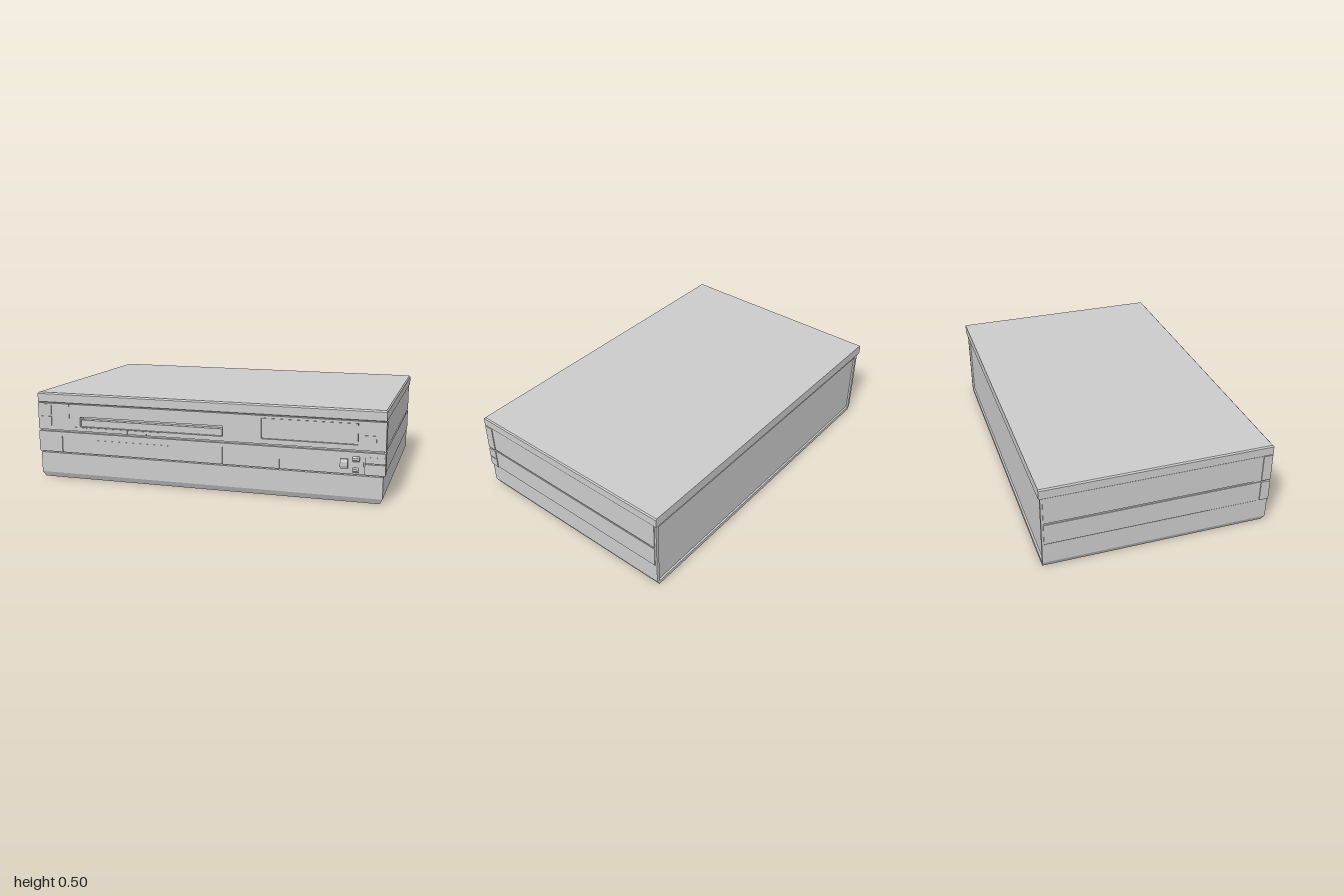
import * as THREE from 'three';

const material = new THREE.MeshStandardMaterial({ color: 0xcccccc, flatShading: true });

// Solid lofted through rectangles [halfWidth, y, back, front], bottom to top
function loft(rings) {
  const pos = [], index = [];
  for (const [x, y, b, f] of rings) pos.push(-x, y, f, x, y, f, x, y, b, -x, y, b);
  for (let r = 0; r < rings.length - 1; r++) {
    for (let i = 0; i < 4; i++) {
      const a = r * 4 + i, c = r * 4 + (i + 1) % 4;
      index.push(a, c, c + 4, a, c + 4, a + 4);
    }
  }
  const t = (rings.length - 1) * 4;
  index.push(0, 2, 1, 0, 3, 2, t, t + 1, t + 2, t, t + 2, t + 3);
  const g = new THREE.BufferGeometry();
  g.setAttribute('position', new THREE.Float32BufferAttribute(pos, 3));
  g.setIndex(index);
  const flat = g.toNonIndexed();
  flat.computeVertexNormals();
  return flat;
}

function rect(x0, x1, y0, y1, Type = THREE.Shape) {
  return new Type([[x0, y0], [x1, y0], [x1, y1], [x0, y1]].map(p => new THREE.Vector2(...p)));
}

// Upright plate with rectangular openings
function plate(shape, holes, z0, z1) {
  for (const h of holes) shape.holes.push(rect(...h, THREE.Path));
  return new THREE.ExtrudeGeometry(shape, { depth: z1 - z0, bevelEnabled: false }).translate(0, 0, z0);
}

export function createModel() {
  const model = new THREE.Group();
  model.name = 'videoRecorder';
  const add = (name, geometry) => {
    const mesh = new THREE.Mesh(geometry, material);
    mesh.name = name;
    model.add(mesh);
    return mesh;
  };
  const block = (name, x0, x1, y0, y1, z0, z1) => add(name,
    new THREE.BoxGeometry(x1 - x0, y1 - y0, z1 - z0)
      .translate((x0 + x1) / 2, (y0 + y1) / 2, (z0 + z1) / 2));

  // Casing: inner core, chamfered base, side bands and overhanging lid
  block('core', -0.985, 0.985, 0.03, 0.45, -0.63, 0.59);
  add('base', loft([[0.975, 0, -0.63, 0.617], [0.99, 0.03, -0.63, 0.632], [0.99, 0.148, -0.63, 0.632]]));
  add('lid', loft([
    [0.998, 0.442, -0.65, 0.626], [1, 0.446, -0.65, 0.632],
    [1, 0.492, -0.65, 0.632], [0.994, 0.5, -0.65, 0.624],
  ]));
  block('lowerBand', -0.995, 0.995, 0.153, 0.274, -0.63, 0.627);
  block('middleGroove', -0.99, 0.99, 0.27, 0.29, -0.63, 0.615);
  block('upperBand', -0.995, 0.995, 0.284, 0.439, -0.63, 0.59);

  // Rear frame around the recessed back panel
  const rear = new THREE.Shape([[-0.975, 0], [0.975, 0], [0.99, 0.03], [0.99, 0.442], [-0.99, 0.442], [-0.99, 0.03]]
    .map(p => new THREE.Vector2(...p)));
  add('rearFrame', plate(rear, [[-0.972, 0.972, 0.022, 0.42]], -0.641, -0.63));

  // Upper fascia with cassette slot and display opening
  add('upperFascia', plate(rect(-1, 1, 0.284, 0.439),
    [[-0.735, 0.12, 0.31, 0.367], [0.335, 0.855, 0.312, 0.425]], 0.58, 0.632));
  block('cassetteFlap', -0.73, 0.115, 0.312, 0.35, 0.585, 0.624);
  block('displayWindow', 0.337, 0.853, 0.314, 0.423, 0.585, 0.627);
  block('fasciaSeam', -0.806, -0.802, 0.312, 0.439, 0.63, 0.634);

  // Square push buttons
  block('powerButton', -0.98, -0.915, 0.372, 0.434, 0.62, 0.637);
  block('ejectButton', -0.98, -0.915, 0.31, 0.362, 0.62, 0.637);
  block('displayButton', 0.89, 0.95, 0.31, 0.365, 0.62, 0.637);

  // Transport keys below the slot
  const keys = [-0.77, -0.69, -0.555, -0.44, -0.325, -0.215];
  for (let i = 0; i < keys.length - 1; i++) {
    block('transportKey', keys[i] + 0.003, keys[i + 1] - 0.003, 0.286, 0.307, 0.62, 0.635);
  }

  // Lower front panels, separated by narrow seams
  const seams = [-1, -0.85, 0.12, 0.44, 0.89];
  for (let i = 0; i < seams.length - 1; i++) {
    block('lowerPanel', seams[i] + (i ? 0.003 : 0), seams[i + 1] - 0.003, 0.155, 0.25, 0.58, 0.633);
  }
  block('lowerTrim', -1, 1, 0.25, 0.274, 0.58, 0.633);
  block('cornerKeyUpper', 0.893, 1, 0.217, 0.25, 0.58, 0.634);
  block('cornerKeyLower', 0.893, 1, 0.155, 0.212, 0.58, 0.634);
  block('indicatorStrip', -0.65, -0.442, 0.233, 0.237, 0.63, 0.635);
  block('indicatorStrip', -0.438, -0.2, 0.233, 0.237, 0.63, 0.635);

  // Tapered control keys: [x0, x1, y0, y1, front]
  for (const [x0, x1, y0, y1, front] of [
    [0.765, 0.805, 0.185, 0.236, 0.65],
    [0.83, 0.866, 0.223, 0.251, 0.643],
    [0.832, 0.862, 0.165, 0.191, 0.643],
  ]) {
    const h = y1 - y0;
    const key = add('controlKey', loft([
      [(x1 - x0) / 2, 0, 0.62, front - 0.006], [(x1 - x0) / 2, h * 0.3, 0.62, front],
      [(x1 - x0) / 2, h * 0.7, 0.62, front], [(x1 - x0) / 2, h, 0.62, front - 0.006],
    ]));
    key.position.set((x0 + x1) / 2, y0, 0);
  }
  return model;
}
